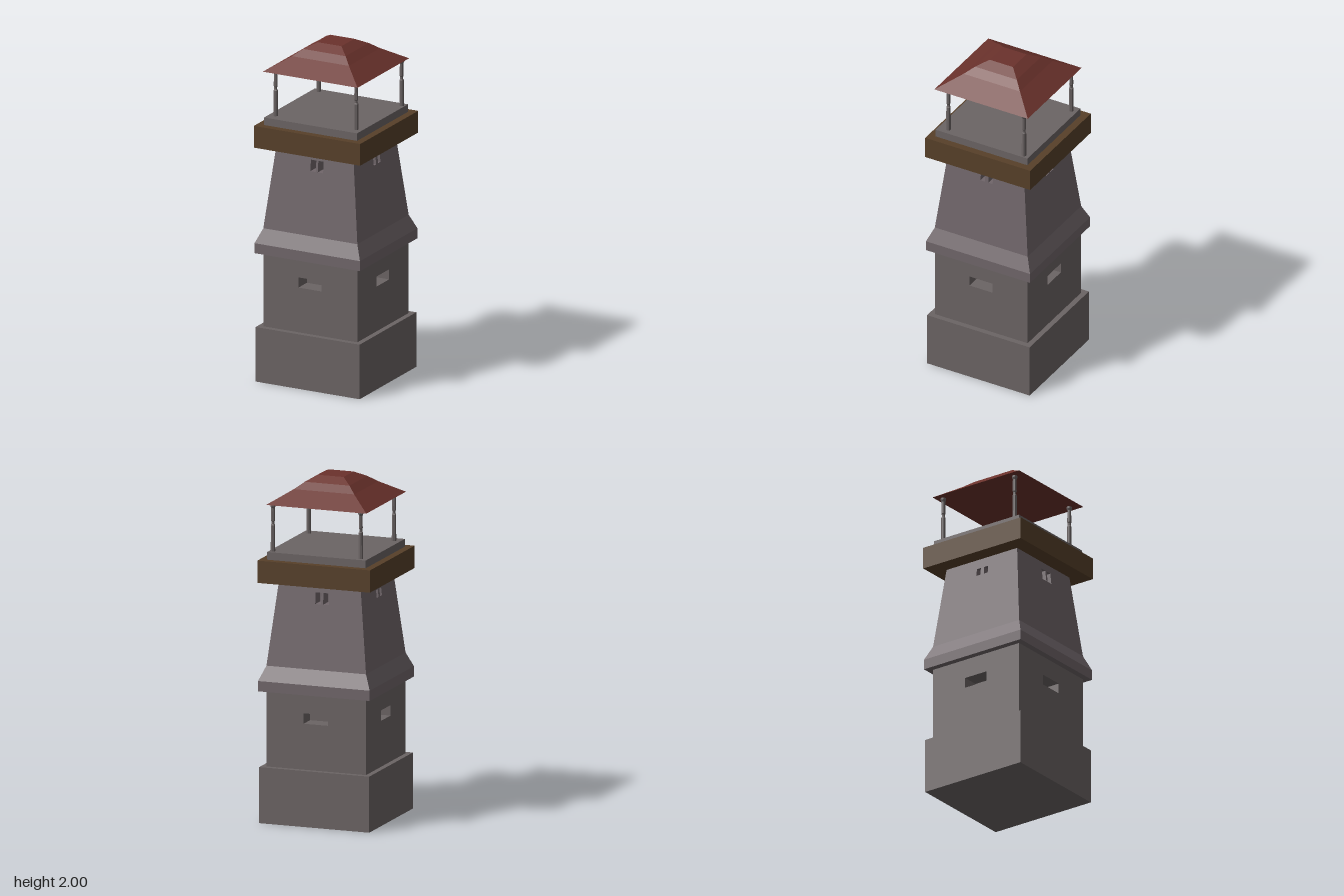
import * as THREE from 'three';

const paint = (color) => new THREE.MeshStandardMaterial({ color, flatShading: true });
const STONE = paint(0x6b6464);
const PALE_STONE = paint(0x70666a);
const WOOD = paint(0x574029);
const TILE = paint(0x6b322c);

function addMesh(parent, name, geometry, material) {
  const mesh = new THREE.Mesh(geometry, material);
  mesh.name = name;
  parent.add(mesh);
  return mesh;
}

// Square tower section from a profile of [half width, height], bottom to top
function squareSection(profile) {
  const points = profile.map(([half, y]) => new THREE.Vector2(half * Math.SQRT2, y));
  const geometry = new THREE.LatheGeometry(points, 4).rotateY(Math.PI / 4).toNonIndexed();
  geometry.computeVertexNormals();
  return geometry;
}

// Four walls that lean from half width h0 at y0 to h1 at y1, with recessed openings.
// openings(side) lists [x0, x1, y0, y1] for side 0 front, 1 left, 2 back, 3 right.
function walls(name, h0, y0, h1, y1, depth, openings, material) {
  const group = new THREE.Group();
  group.name = name;
  const surfaceAt = (y) => h0 + ((h1 - h0) * (y - y0)) / (y1 - y0);

  for (let side = 0; side < 4; side++) {
    const face = new THREE.Group();
    face.name = name + 'Side';
    face.rotation.y = (side * Math.PI) / 2;
    group.add(face);

    const shape = new THREE.Shape();
    shape.moveTo(-h0, y0).lineTo(h0, y0).lineTo(h1, y1).lineTo(-h1, y1).closePath();

    for (const [a, b, low, high] of openings(side)) {
      const hole = new THREE.Path();
      hole.moveTo(a, low).lineTo(a, high).lineTo(b, high).lineTo(b, low).closePath();
      shape.holes.push(hole);

      // Inside of a box whose open front follows the lean of the wall
      const recess = new THREE.BoxGeometry(b - a, high - low, 1);
      const index = Array.from(recess.index.array);
      index.splice(24, 6);
      recess.setIndex(index.reverse());
      recess.translate((a + b) / 2, (low + high) / 2, 0);
      const pos = recess.attributes.position;
      for (let i = 0; i < pos.count; i++) {
        const front = pos.getZ(i) > 0;
        pos.setZ(i, front ? surfaceAt(pos.getY(i)) : surfaceAt(high) - depth);
      }
      recess.computeVertexNormals();
      addMesh(face, 'windowRecess', recess, material);
    }

    const panel = new THREE.ShapeGeometry(shape);
    const pos = panel.attributes.position;
    for (let i = 0; i < pos.count; i++) pos.setZ(i, surfaceAt(pos.getY(i)));
    panel.computeVertexNormals();
    addMesh(face, 'wall', panel, material);
  }
  return group;
}

export function createModel() {
  const tower = new THREE.Group();
  tower.name = 'watchtower';

  // Plinth
  addMesh(tower, 'plinth', squareSection([[0, 0], [0.337, 0], [0.337, 0.327], [0, 0.327]]), STONE);

  // Lower storey with one wide slot on each side
  const slot = [[-0.077, 0.073, 0.595, 0.656]];
  tower.add(walls('lowerStorey', 0.305, 0.327, 0.305, 0.77, 0.1, () => slot, STONE));

  // Flared skirt
  addMesh(tower, 'skirt', squareSection([[0, 0.77], [0.342, 0.77], [0.342, 0.83], [0.305, 0.915]]), PALE_STONE);

  // Leaning upper storey with paired windows, taller on front and back
  const tallPair = [[-0.023, 0.012, 1.289, 1.356], [0.025, 0.06, 1.289, 1.356]];
  const smallPair = [[-0.03, -0.002, 1.3, 1.344], [0.022, 0.05, 1.3, 1.344]];
  tower.add(walls('upperStorey', 0.305, 0.915, 0.25, 1.403, 0.07,
    (side) => (side % 2 ? smallPair : tallPair), PALE_STONE));

  // Timber gallery and stone platform
  addMesh(tower, 'gallery', squareSection([[0, 1.403], [0.345, 1.403], [0.345, 1.533], [0, 1.533]]), WOOD);
  addMesh(tower, 'platform', squareSection([[0.302, 1.533], [0.302, 1.578], [0, 1.578]]), STONE);

  // Slightly uneven roof posts with a notched waist and flared head
  const postProfile = [
    [0.014, 1.578], [0.013, 1.73], [0.009, 1.737], [0.009, 1.75],
    [0.012, 1.757], [0.011, 1.83], [0.016, 1.842], [0.016, 1.856],
  ].map(([r, y]) => new THREE.Vector2(r, y));
  const post = new THREE.LatheGeometry(postProfile, 8);
  for (const [x, z] of [[-0.26, 0.24], [0.262, 0.24], [0.28, -0.267], [-0.258, -0.267]]) {
    addMesh(tower, 'roofPost', post, STONE).position.set(x, 0, z);
  }

  // Hipped roof with a flat crown
  addMesh(tower, 'roof', squareSection([
    [0, 1.853], [0.307, 1.853], [0.185, 1.93], [0.137, 1.967], [0.077, 2], [0, 2],
  ]), TILE);

  return tower;
}
